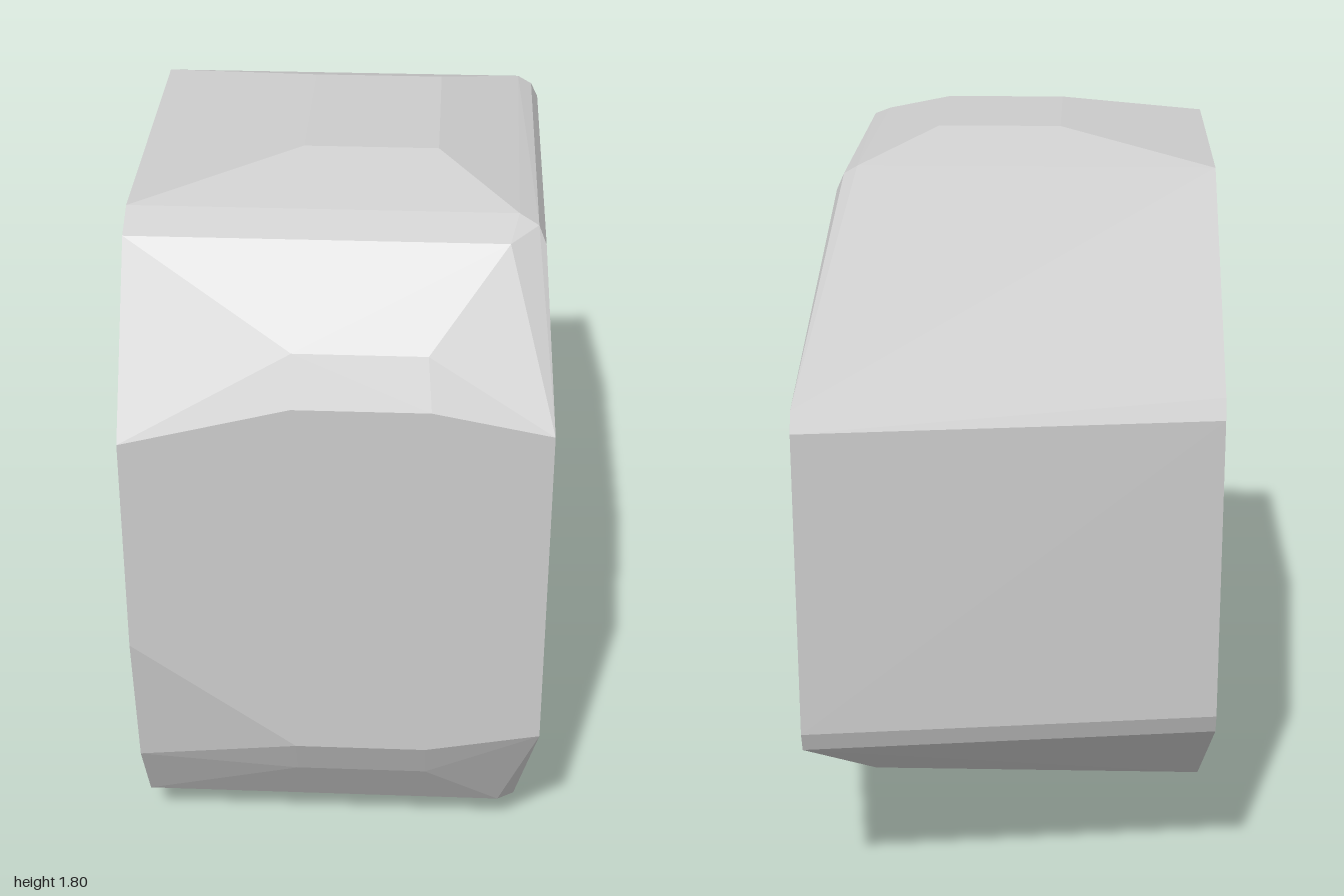
import * as THREE from 'three';
import { ConvexGeometry } from 'three/addons/geometries/ConvexGeometry.js';

// Each row holds x, y, z corner points.
const frontCorners = [
  // flat front
  [-0.5, 0.71, 1], [-0.5, 1.28, 1], [-0.1, 1.385, 1], [0.22, 1.385, 1],
  [0.5, 1.33, 1], [0.5, 0.47, 1], [0.22, 0.415, 1], [-0.1, 0.415, 1],
  // bevels above and below it
  [-0.1, 1.5, 0.945], [0.21, 1.5, 0.945],
  [-0.5, 0.325, 0.94], [-0.1, 0.3, 0.945], [0.22, 0.3, 0.945],
  [-0.5, 0.11, 0.82], [0.41, 0.11, 0.82],
  [-0.5, 0.07, 0.75], [0.41, 0.07, 0.75],
];

const topCorners = [
  // flat crown
  [-0.1, 1.8, 0.02], [0.22, 1.8, 0.02], [-0.1, 1.8, 0.47], [0.22, 1.8, 0.47],
  // shoulders
  [-0.5, 1.73, -0.17], [-0.5, 1.73, 0.67], [0.41, 1.73, 0.67], [0.42, 1.73, -0.17],
  [-0.5, 1.69, 0.75], [0.39, 1.69, 0.75],
  // bevel along the left edge
  [0.455, 1.71, 0.69], [0.455, 1.71, -0.17], [0.473, 1.67, 0.71], [0.473, 1.67, -0.18],
];

const bottomCorners = [
  // flat base
  [-0.5, 0, -0.17], [-0.5, 0, 0.09], [-0.1, 0, 0.47], [0.22, 0, 0.47],
  [0.41, 0, -0.17], [0.41, 0, 0.1],
  // bevel along the left edge
  [0.455, 0.02, -0.17], [0.455, 0.02, 0.1], [0.453, 0.09, 0.77],
  [0.473, 0.06, -0.17], [0.473, 0.06, 0.1], [0.473, 0.13, 0.73],
];

// Slanted back face with small bevels, mirrored about mid height
const backCorners = [];
for (const s of [-1, 1]) {
  for (const [x, z] of [[0.5, -1], [-0.5, -0.87]]) {
    backCorners.push([x, 0.9 + s * 0.38, z], [x, 0.9 + s * 0.43, z + 0.02]);
  }
}

export function createModel() {
  const group = new THREE.Group();
  group.name = 'boulder';
  const points = [...frontCorners, ...topCorners, ...bottomCorners, ...backCorners]
    .map((p) => new THREE.Vector3(...p));
  // Faceted solid block
  const rock = new THREE.Mesh(
    new ConvexGeometry(points),
    new THREE.MeshStandardMaterial({ color: 0xcccccc, flatShading: true }),
  );
  rock.name = 'rockBody';
  group.add(rock);
  return group;
}
